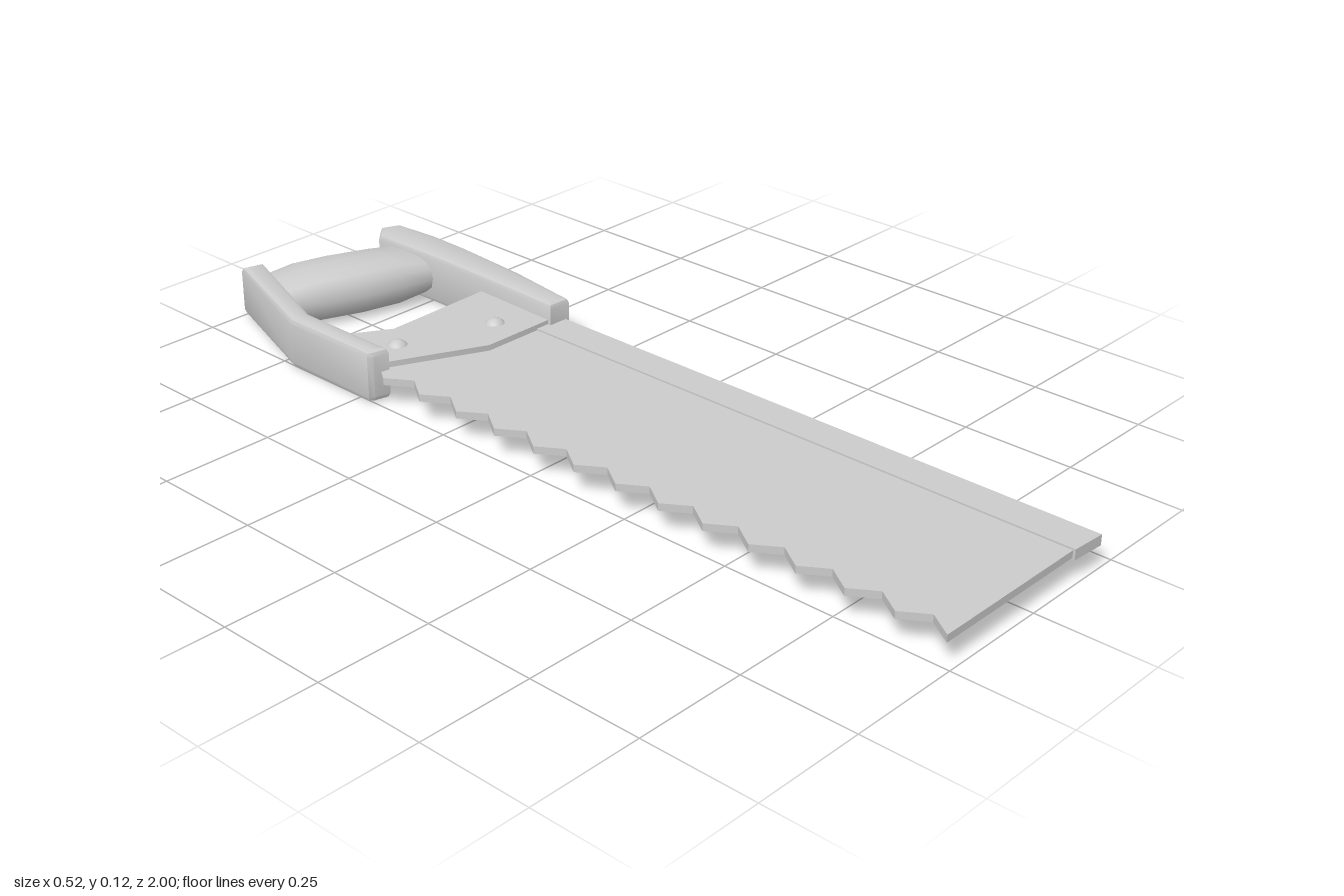
import * as THREE from 'three';
import { toCreasedNormals, mergeVertices } from 'three/addons/utils/BufferGeometryUtils.js';

const MID = 0.062; // height of the blade's mid plane
const material = new THREE.MeshStandardMaterial({ color: 0xcccccc });

function add(group, name, geometry) {
  const mesh = new THREE.Mesh(geometry, material);
  mesh.name = name;
  group.add(mesh);
  return mesh;
}

// Slab with an [x, z] outline, centred on the mid plane, optionally bevelled
function slab(points, thickness, bevel = 0) {
  const shape = new THREE.Shape(points.map(([x, z]) => new THREE.Vector2(x, -z)));
  const depth = thickness - 2 * bevel;
  const geometry = new THREE.ExtrudeGeometry(shape, {
    depth, bevelEnabled: bevel > 0, bevelThickness: bevel,
    bevelSize: bevel, bevelOffset: -bevel, bevelSegments: 2,
  });
  geometry.rotateX(-Math.PI / 2).translate(0, MID - depth / 2, 0);
  return toCreasedNormals(geometry, 0.5);
}

// Grip lofted through rounded sections: [back x, back z, front x, front z, half height]
function gripGeometry() {
  const sections = [
    [-0.135, -0.985, -0.18, -0.85, 0.042],
    [-0.105, -0.982, -0.15, -0.84, 0.048],
    [-0.05, -0.972, -0.08, -0.81, 0.059],
    [0.03, -0.95, 0.01, -0.775, 0.06],
    [0.11, -0.916, 0.1, -0.752, 0.059],
    [0.155, -0.918, 0.165, -0.737, 0.047],
    [0.2, -0.925, 0.2, -0.735, 0.042],
  ];
  const sides = 16, positions = [], index = [];
  const round = (v) => Math.sign(v) * Math.abs(v) ** 0.75;
  sections.forEach(([bx, bz, fx, fz, h]) => {
    for (let j = 0; j < sides; j++) {
      const a = (j / sides) * Math.PI * 2;
      const t = (1 + round(Math.cos(a))) / 2;
      positions.push(bx + (fx - bx) * t, MID + h * round(Math.sin(a)), bz + (fz - bz) * t);
    }
  });
  for (let i = 0; i < sections.length - 1; i++) {
    for (let j = 0; j < sides; j++) {
      const a = i * sides + j, b = i * sides + (j + 1) % sides;
      index.push(a, a + sides, b, b, a + sides, b + sides);
    }
  }
  // End caps
  const last = (sections.length - 1) * sides;
  for (let j = 1; j < sides - 1; j++) {
    index.push(0, j, j + 1, last, last + j + 1, last + j);
  }
  // Orient the winding outwards
  const geometry = new THREE.BufferGeometry();
  geometry.setAttribute('position', new THREE.Float32BufferAttribute(positions, 3));
  for (let k = 0; k < index.length; k += 3) {
    [index[k + 1], index[k + 2]] = [index[k + 2], index[k + 1]];
  }
  if (signedVolume(positions, index) < 0) index.reverse();
  geometry.setIndex(index);
  return toCreasedNormals(mergeVertices(geometry), 0.8);
}

function signedVolume(p, index) {
  const at = (i) => new THREE.Vector3(p[3 * i], p[3 * i + 1], p[3 * i + 2]);
  let volume = 0;
  for (let k = 0; k < index.length; k += 3) {
    volume += at(index[k]).dot(at(index[k + 1]).cross(at(index[k + 2])));
  }
  return volume;
}

export function createModel() {
  const saw = new THREE.Group();
  saw.name = 'handSaw';

  // Toothed blade
  const outline = [[0.15, -0.45], [0.15, 0.99]];
  const pitch = 0.109;
  for (let i = 0; i < 14; i++) {
    const z = 0.99 - i * pitch;
    outline.push([-0.25, z], [-0.214, z - pitch / 2]);
  }
  add(saw, 'blade', slab(outline, 0.016));

  // Thicker strip along the back of the blade
  add(saw, 'spine', slab([[0.13, -0.45], [0.13, 0.995], [0.208, 1], [0.208, -0.45]], 0.023));

  // Plate joining blade and handle
  add(saw, 'handlePlate', slab([
    [-0.225, -0.65], [-0.093, -0.569], [0.18, -0.574],
    [0.18, -0.36], [-0.01, -0.362], [-0.225, -0.464],
  ], 0.042));

  // Domed rivets showing on both faces
  for (const [x, z] of [[-0.14, -0.505], [0.076, -0.434]]) {
    const rivet = add(saw, 'rivet', new THREE.SphereGeometry(0.028, 20, 14));
    rivet.scale.y = 1.16;
    rivet.position.set(x, MID, z);
  }

  // Bent guard on the toothed side
  add(saw, 'toothSideGuard', slab([
    [-0.261, -0.462], [-0.261, -0.705], [-0.158, -1],
    [-0.108, -0.985], [-0.214, -0.7], [-0.214, -0.448], [-0.25, -0.455],
  ], 0.116, 0.012));

  // Gently curved guard on the spine side
  add(saw, 'spineSideGuard', slab([
    [0.163, -0.352], [0.218, -0.35], [0.243, -0.53], [0.257, -0.72], [0.259, -0.82],
    [0.25, -0.93], [0.208, -0.948], [0.17, -0.912], [0.174, -0.72], [0.17, -0.55],
  ], 0.118, 0.012));

  add(saw, 'grip', gripGeometry());
  return saw;
}
